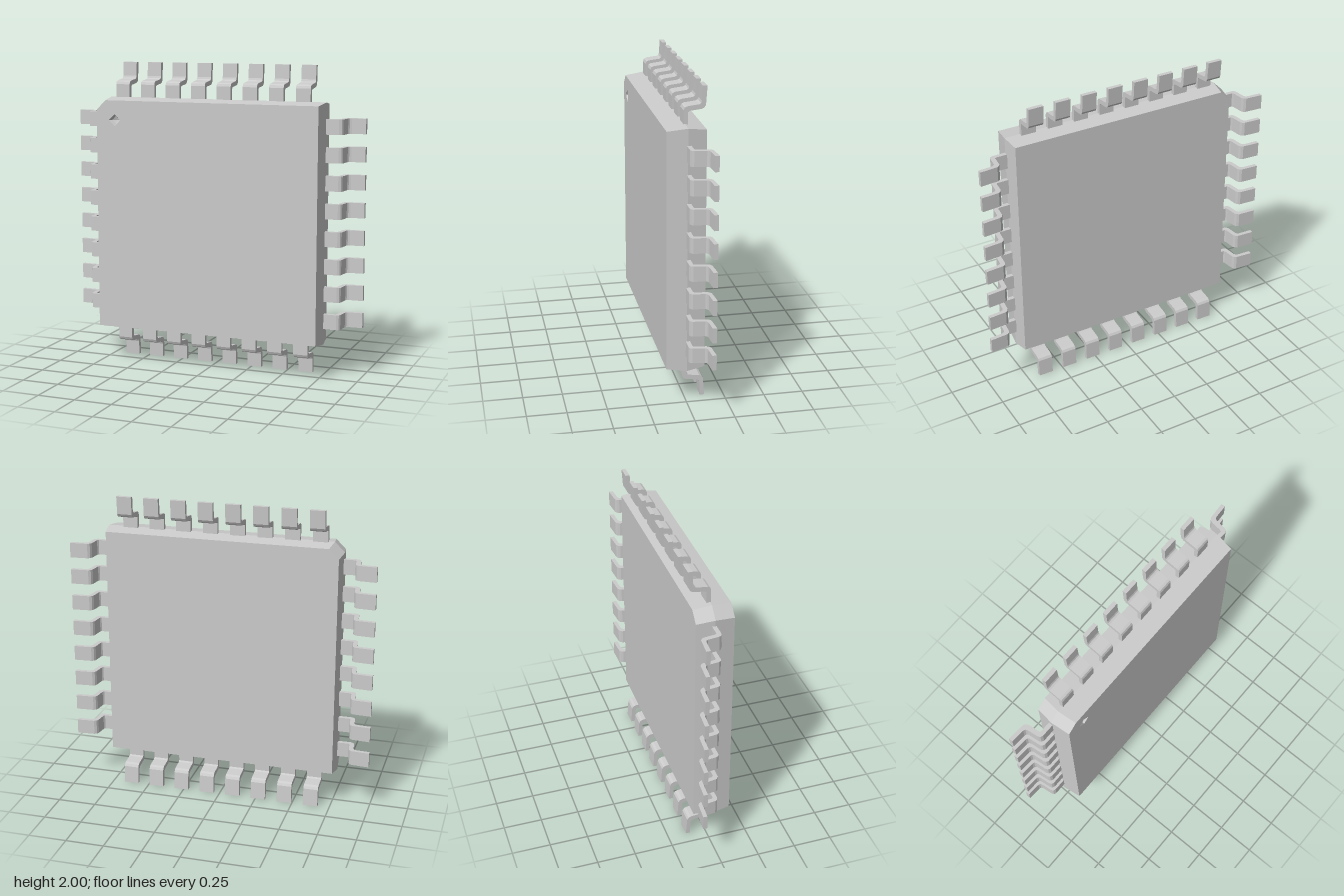
import * as THREE from 'three';

const makeMaterial = (side = THREE.FrontSide) =>
  new THREE.MeshStandardMaterial({ color: 0xcccccc, flatShading: true, side });

// Square outline with one chamfered corner, counter-clockwise from the front
const H = 0.775, C = 0.71;
const outline = [[-H, -H], [H, -H], [H, H], [-C, H], [-H, C]];
const ring = (scale, z) => outline.map(([x, y]) => new THREE.Vector3(x * scale, y * scale, z));

const FRONT = 0.13, MID = 0.005, BACK = -0.11, TAPER = 0.979;
const DOT = { x: -0.63, y: 0.63, r: 0.04 };

// Side walls, drafted both ways from the parting line
function wallGeometry() {
  const rings = [ring(TAPER, BACK), ring(1, MID), ring(TAPER, FRONT)];
  const points = [];
  for (let k = 0; k < 2; k++) {
    for (let i = 0; i < outline.length; i++) {
      const j = (i + 1) % outline.length;
      const a = rings[k][i], b = rings[k][j], c = rings[k + 1][j], d = rings[k + 1][i];
      points.push(a, b, c, a, c, d);
    }
  }
  const geometry = new THREE.BufferGeometry().setFromPoints(points);
  geometry.computeVertexNormals();
  return geometry;
}

function capShape() {
  return new THREE.Shape(ring(TAPER, 0).map((p) => new THREE.Vector2(p.x, p.y)));
}

// Gull-wing lead profile: x runs outward from the body, y is the depth
function leadGeometry(width) {
  const profile = [
    [0.74, -0.015], [0.845, -0.015], [0.853, -0.025], [0.862, -0.098],
    [0.87, -0.113], [0.885, -0.122], [1, -0.13], [1, -0.103],
    [0.91, -0.098], [0.897, -0.093], [0.89, -0.082], [0.881, -0.008],
    [0.874, 0.005], [0.858, 0.012], [0.74, 0.012],
  ].map(([r, z]) => new THREE.Vector2(r, z));
  const geometry = new THREE.ExtrudeGeometry(new THREE.Shape(profile), { depth: width, bevelEnabled: false });
  geometry.translate(0, 0, -width / 2);
  geometry.rotateX(Math.PI / 2); // depth becomes z, width becomes y
  return geometry;
}

export function createModel() {
  const model = new THREE.Group();
  model.name = 'chipPackage';
  const material = makeMaterial();
  const add = (parent, name, geometry, mat = material) => {
    const mesh = new THREE.Mesh(geometry, mat);
    mesh.name = name;
    parent.add(mesh);
    return mesh;
  };

  // Package body
  const body = new THREE.Group();
  body.name = 'body';
  body.position.y = 1;
  model.add(body);
  add(body, 'bodyWalls', wallGeometry());

  const frontShape = capShape();
  const { x, y, r } = DOT;
  frontShape.holes.push(new THREE.Path([[x + r, y], [x, y + r], [x - r, y], [x, y - r]]
    .map(([px, py]) => new THREE.Vector2(px, py))));
  add(body, 'frontFace', new THREE.ShapeGeometry(frontShape)).position.z = FRONT;

  const backGeometry = new THREE.ShapeGeometry(capShape());
  backGeometry.scale(-1, 1, 1).rotateY(Math.PI);
  const index = backGeometry.index.array; // restore the winding after mirroring
  for (let i = 0; i < index.length; i += 3) [index[i], index[i + 1]] = [index[i + 1], index[i]];
  backGeometry.computeVertexNormals();
  add(body, 'backFace', backGeometry).position.z = BACK;

  // Pin-one dimple sunk into the front face
  const dimple = add(body, 'pinOneDimple', new THREE.LatheGeometry(
    [[0, -0.03], [0.026, -0.022], [r, 0]].map(([a, b]) => new THREE.Vector2(a, b)), 4,
  ), makeMaterial(THREE.DoubleSide));
  dimple.rotation.x = Math.PI / 2;
  dimple.position.set(x, y, FRONT);

  // Eight leads on each of the four sides
  const lead = leadGeometry(0.097);
  ['leftLeads', 'topLeads', 'rightLeads', 'bottomLeads'].forEach((name, side) => {
    const row = new THREE.Group();
    row.name = name;
    row.position.y = 1;
    row.rotation.z = side * Math.PI / 2;
    for (let i = 0; i < 8; i++) add(row, 'lead', lead).position.y = (i - 3.5) * 0.178;
    model.add(row);
  });

  return model;
}
